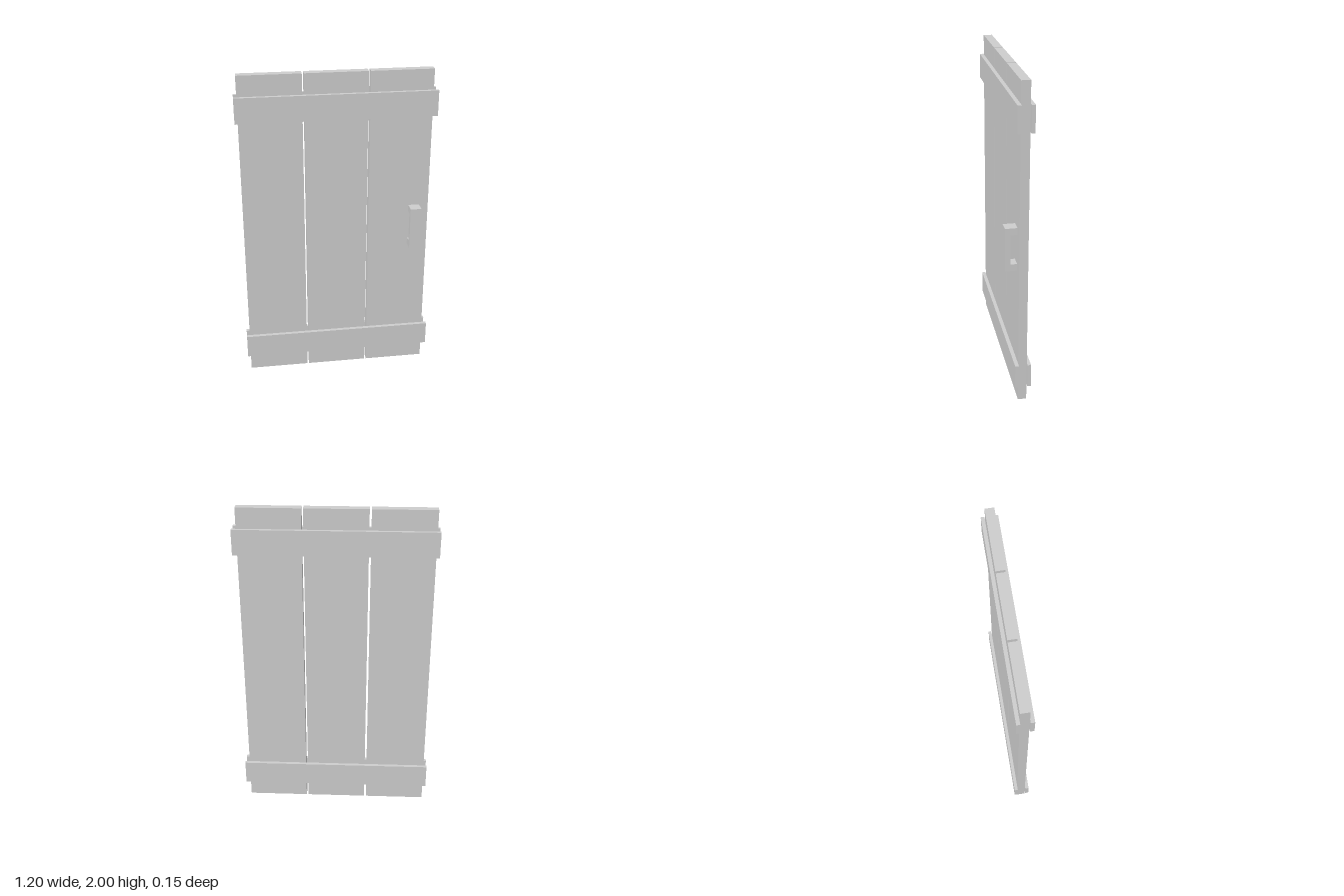
import * as THREE from 'three';

const material = new THREE.MeshStandardMaterial({ color: 0xcccccc, flatShading: true });

// Box given by its lower and upper corners
function block(name, [x0, y0, z0], [x1, y1, z1]) {
  const mesh = new THREE.Mesh(new THREE.BoxGeometry(x1 - x0, y1 - y0, z1 - z0), material);
  mesh.name = name;
  mesh.position.set((x0 + x1) / 2, (y0 + y1) / 2, (z0 + z1) / 2);
  return mesh;
}

// C-shaped pull: side profile (z, y) extruded across x
function makeHandle() {
  const profile = [
    [0, 0.867], [0.073, 0.867], [0.073, 1.138], [0, 1.138],
    [0, 1.095], [0.04, 1.095], [0.04, 0.91], [0, 0.91],
  ];
  const shape = new THREE.Shape(profile.map(([z, y]) => new THREE.Vector2(z, y)));
  const geometry = new THREE.ExtrudeGeometry(shape, { depth: 0.068, bevelEnabled: false });
  geometry.rotateY(-Math.PI / 2); // profile x -> +z, extrusion -> -x
  const mesh = new THREE.Mesh(geometry, material);
  mesh.name = 'handle';
  mesh.position.x = 0.518;
  return mesh;
}

export function createModel() {
  const door = new THREE.Group();
  door.name = 'plankDoor';

  // Three upright planks with narrow gaps
  ['rightPlank', 'middlePlank', 'leftPlank'].forEach((name, i) => {
    const x = -0.583 + i * 0.39;
    door.add(block(name, [x, 0, -0.052], [x + 0.378, 2, 0.001]));
  });

  // Cross battens, top and bottom, on both faces
  for (const [level, y0, y1] of [['lower', 0.11, 0.262], ['upper', 1.72, 1.875]]) {
    door.add(block(level + 'FrontBatten', [-0.602, y0, 0.001], [0.602, y1, 0.024]));
    door.add(block(level + 'BackBatten', [-0.602, y0, -0.073], [0.602, y1, -0.052]));
  }

  door.add(makeHandle());
  return door;
}
